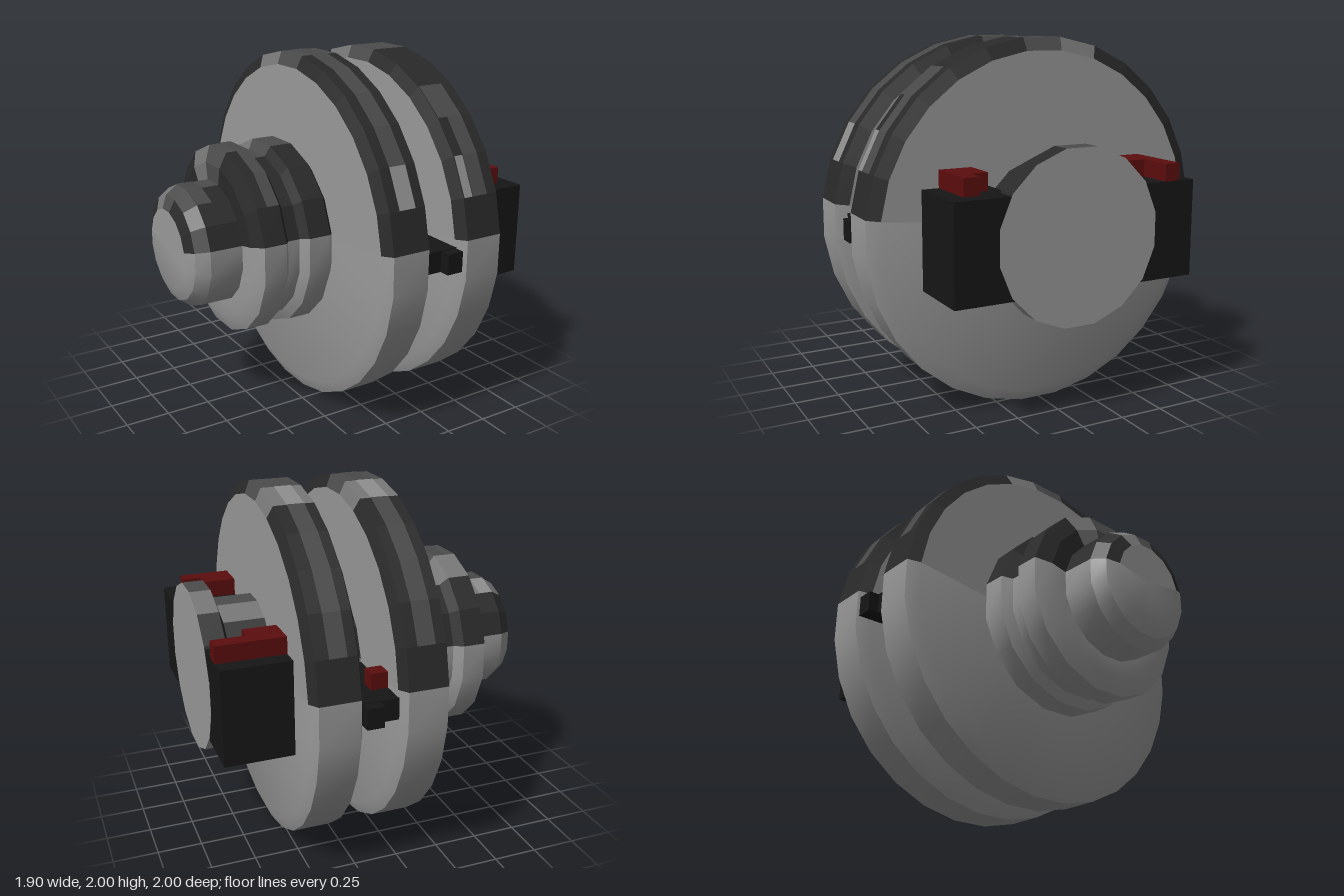
import * as THREE from 'three';
import { toCreasedNormals } from 'three/addons/utils/BufferGeometryUtils.js';

const mat = (color) => new THREE.MeshStandardMaterial({ color });
const grey = mat(0x9a9a9a), dark = mat(0x292929), black = mat(0x161616), red = mat(0x5c0d0d);
// Polished crest of the upper halves, and worn paint
const crest = mat(0x4c4c4c), sheen = mat(0x767676), worn = mat(0x484848), bare = mat(0x8c8c8c);

export function createModel() {
  const model = new THREE.Group();
  const axle = new THREE.Group();
  axle.name = 'axleAssembly';
  axle.position.y = 1;
  model.add(axle);

  const add = (name, geometry, material) => {
    const mesh = new THREE.Mesh(geometry, material);
    mesh.name = name;
    axle.add(mesh);
  };

  // Lathe around the x axis: profile of [x, flat radius] over some of n sides;
  // side 0 is on top and the count runs forwards
  const turn = (name, profile, n, first, count, material, crease = 0.01) => {
    const step = (Math.PI * 2) / n;
    const points = profile.map(([x, r]) => new THREE.Vector2(r / Math.cos(step / 2), x));
    const start = 1.5 * Math.PI + (first - 0.5) * step;
    const lathe = new THREE.LatheGeometry(points, count, start, count * step).rotateZ(-Math.PI / 2);
    add(name, toCreasedNormals(lathe, crease), material);
  };

  // Dark faceted upper half with a polished crest; smooth grey lower half and end faces
  const twoTone = (name, profile, n) => {
    const m = n / 4 - 1;
    turn(name + 'UpperBack', profile, n, -m, m - 1, dark);
    turn(name + 'Sheen', profile, n, -1, 1, sheen);
    turn(name + 'Crest', profile, n, 0, 1, crest);
    turn(name + 'UpperFront', profile, n, 1, m, dark);
    const [x0, r0] = profile[0], [x1, r1] = profile[profile.length - 1];
    turn(name + 'Lower', [[x0, 0], ...profile, [x1, 0]], n, m + 1, n / 2 + 1, grey, 0.45);
    turn(name + 'RightFace', [[x0, 0], [x0, r0]], n, -m, n / 2 - 1, grey);
    turn(name + 'LeftFace', [[x1, r1], [x1, 0]], n, -m, n / 2 - 1, grey);
  };

  // Two large bevelled discs
  for (const [name, x0, x1] of [['rightDisc', -0.19, 0.09], ['leftDisc', 0.285, 0.567]]) {
    twoTone(name, [[x0, 0.93], [x0 + 0.03, 1], [x1 - 0.03, 1], [x1, 0.93]], 28);
  }

  // Shafts, grooved barrel and end knobs
  twoTone('middleShaft', [[0.08, 0.43], [0.295, 0.43]], 16);
  twoTone('barrel', [[-0.665, 0.3], [-0.665, 0.43], [-0.63, 0.52], [-0.5, 0.52], [-0.46, 0.465],
    [-0.39, 0.465], [-0.36, 0.52], [-0.23, 0.52], [-0.185, 0.46]], 16);
  twoTone('rightKnob', [[-0.95, 0.22], [-0.92, 0.29], [-0.85, 0.335], [-0.65, 0.335]], 16);
  twoTone('leftKnob', [[0.55, 0.365], [0.795, 0.365], [0.83, 0.465], [0.947, 0.465]], 16);

  // Worn patches just above the surface: x limits, radius, sides, first side, count
  for (const [x0, x1, r, n, first, count, material] of [
    [-0.1, 0, 1, 28, -5, 4, worn], [-0.1, 0, 1, 28, -1, 1, bare],
    [-0.1, 0, 1, 28, 0, 5, worn], [-0.1, 0, 1, 28, 5, 1, bare],
    [0.375, 0.47, 1, 28, 4, 2, worn], [0.318, 0.47, 1, 28, 3, 1, worn],
    [0.318, 0.372, 1, 28, 5, 1, bare], [0.37, 0.465, 1, 28, -5, 4, worn],
    [0.37, 0.465, 1, 28, -1, 1, bare],
    [-0.57, -0.5, 0.52, 16, 0, 3, worn], [-0.85, -0.765, 0.335, 16, 0, 2, worn],
    [-0.85, -0.765, 0.335, 16, -1, 1, bare],
  ]) turn('wornPatch', [[x0, r + 0.003], [x1, r + 0.003]], n, first, count, material);

  // Box from its corner limits, y measured from the axle
  const block = (name, [x0, x1], [y0, y1], [z0, z1], material) => {
    const geometry = new THREE.BoxGeometry(x1 - x0, y1 - y0, Math.abs(z1 - z0));
    add(name, geometry.translate((x0 + x1) / 2, (y0 + y1) / 2, (z0 + z1) / 2), material);
  };

  for (const s of [1, -1]) {
    const z = (a, b) => [s * a, s * b];
    // Side blocks with red stepped brackets on top
    block('sideBlock', [0.56, 0.945], [-0.28, 0.25], z(0.36, 0.71), black);
    block('bracketBase', [0.56, 0.755], [0.25, 0.345], z(0.43, 0.615), red);
    block('bracketArm', [0.755, s > 0 ? 0.855 : 0.945], [0.25, 0.345], z(0.525, 0.615), red);
    // Bars between the discs, each with a tip and a red stud
    block('spacerBar', [0.085, 0.29], [-0.055, 0.065], z(0.38, 0.94), black);
    block('spacerTip', [0.19, 0.285], [-0.055, 0.06], z(0.94, 1), black);
    block('redStud', [0.092, 0.185], [0.065, 0.155], z(0.715, 0.805), red);
  }
  return model;
}
